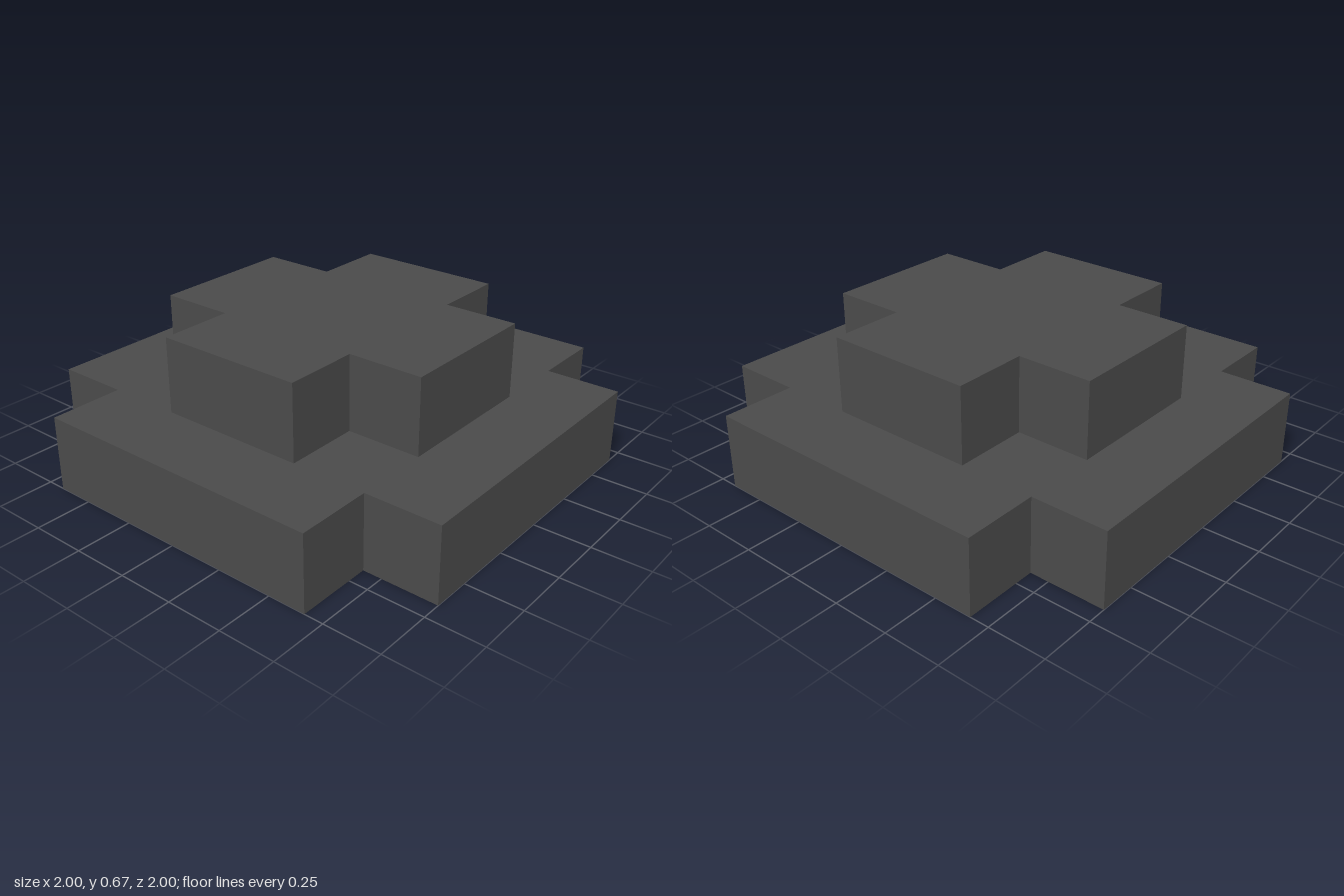
import * as THREE from 'three';

const THIRD = 1 / 3;

// Plus-shaped slab: a square of half-width `outer` with its corners notched back to `inner`
function notchedSlab(outer, inner, height) {
  const quarter = [[outer, -inner], [outer, inner], [inner, inner]];
  const points = [];
  for (let i = 0; i < 4; i++) {
    for (const [x, y] of quarter) {
      points.push(new THREE.Vector2(x, y).rotateAround(new THREE.Vector2(), i * Math.PI / 2));
    }
  }
  const geometry = new THREE.ExtrudeGeometry(new THREE.Shape(points), { depth: height, bevelEnabled: false });
  return geometry.rotateX(-Math.PI / 2);
}

export function createModel() {
  const model = new THREE.Group();
  model.name = 'steppedBlock';

  const darkGrey = new THREE.MeshStandardMaterial({ color: 0x4a4a4a });
  darkGrey.name = 'darkGrey';

  // Wide lower step and smaller upper step
  const tiers = [
    { name: 'lowerTier', outer: 1, inner: 2 * THIRD, y: 0 },
    { name: 'upperTier', outer: 2 * THIRD, inner: THIRD, y: THIRD },
  ];
  for (const { name, outer, inner, y } of tiers) {
    const mesh = new THREE.Mesh(notchedSlab(outer, inner, THIRD), darkGrey);
    mesh.name = name;
    mesh.position.y = y;
    model.add(mesh);
  }
  return model;
}
